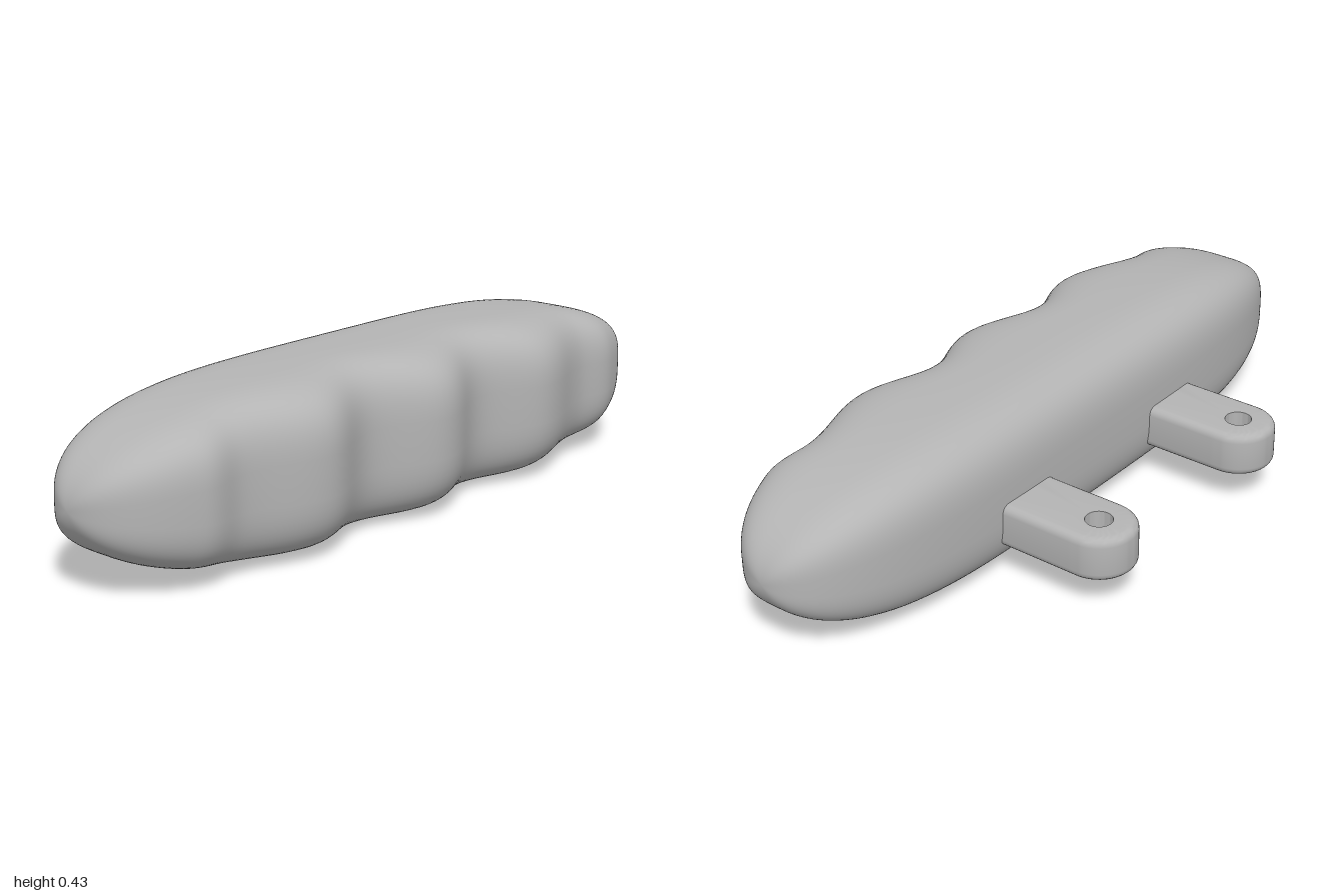
import * as THREE from 'three';
import { mergeVertices, toCreasedNormals } from 'three/addons/utils/BufferGeometryUtils.js';

// Skin a surface over rings of equally many points; wrap joins the last ring to the first
function loft(rings, wrap = false) {
  const n = rings[0].length;
  const index = [];
  const count = wrap ? rings.length : rings.length - 1;
  for (let j = 0; j < count; j++) {
    const k = (j + 1) % rings.length;
    for (let i = 0; i < n; i++) {
      const m = (i + 1) % n;
      const a = j * n + i, b = j * n + m, c = k * n + m, d = k * n + i;
      index.push(a, b, c, a, c, d);
    }
  }
  const geo = new THREE.BufferGeometry();
  geo.setAttribute('position', new THREE.Float32BufferAttribute(rings.flat(2), 3));
  geo.setIndex(index);
  const merged = mergeVertices(geo, 1e-5);
  merged.computeVertexNormals();
  return merged;
}

// Reach of the finger side: crests and grooves, shallower near the ends
function fingerReach(z) {
  const d = Math.abs(z);
  const phase = d < 0.645 ? d / 0.43 : Math.min(2, 1.5 + (d - 0.645) / 0.28);
  const depth = d < 0.43 ? 0.035 : 0.022;
  return 0.267 - depth * (1 - Math.cos(phase * 2 * Math.PI));
}

// Rounded-square sections, tapering to both tips
function gripGeometry() {
  const steps = 140, sides = 72;
  const power = (v) => Math.sign(v) * Math.abs(v) ** (2 / 3.4);
  const rings = [];
  for (let j = 0; j <= steps; j++) {
    const z = -Math.cos((j / steps) * Math.PI);
    const taper = Math.sqrt(Math.max(0, 1 - z ** 4));
    const ring = [];
    for (let i = 0; i < sides; i++) {
      const a = (i / sides) * 2 * Math.PI;
      const c = power(Math.cos(a)), s = power(Math.sin(a));
      const reach = c > 0 ? fingerReach(z) : 0.23;
      ring.push([0.135 + c * reach * taper, 0.215 + s * 0.215 * taper, z]);
    }
    rings.push(ring);
  }
  return loft(rings);
}

// Round-ended lug with filleted rim and a sharp through hole at its origin
function lugGeometry() {
  const sides = 64, half = 0.0975, length = 0.33, height = 0.12, fillet = 0.022;
  const makeRing = (y, radiusAt) => Array.from({ length: sides }, (_, i) => {
    const a = (i / sides) * 2 * Math.PI;
    const r = radiusAt(Math.cos(a), Math.abs(Math.sin(a)));
    return [r * Math.cos(a), y, -r * Math.sin(a)];
  });
  const outer = (inset) => (c, s) => {
    const w = half - inset;
    return c <= 0 ? w : Math.min(w / Math.max(s, 1e-6), length / Math.max(c, 1e-6));
  };
  const hole = () => 0.035;
  const rings = [makeRing(0, hole)];
  for (let k = 0; k <= 5; k++) {
    const a = (k / 5) * Math.PI / 2;
    rings.push(makeRing(fillet * (1 - Math.cos(a)), outer(fillet * (1 - Math.sin(a)))));
  }
  for (let k = 5; k >= 0; k--) {
    const a = (k / 5) * Math.PI / 2;
    rings.push(makeRing(height - fillet * (1 - Math.cos(a)), outer(fillet * (1 - Math.sin(a)))));
  }
  rings.push(makeRing(height, hole));
  return toCreasedNormals(loft(rings, true), 0.7);
}

export function createModel() {
  const group = new THREE.Group();
  group.name = 'fingerGripHandle';
  const grey = new THREE.MeshStandardMaterial({ color: 0xb4b4b4 });
  grey.name = 'grey';

  const grip = new THREE.Mesh(gripGeometry(), grey);
  grip.name = 'grip';
  group.add(grip);

  // Two mounting lugs on the flat side
  const lugShape = lugGeometry();
  for (const [name, z] of [['frontLug', 0.303], ['backLug', -0.311]]) {
    const lug = new THREE.Mesh(lugShape, grey);
    lug.name = name;
    lug.position.set(-0.31, 0.095, z);
    group.add(lug);
  }
  return group;
}
